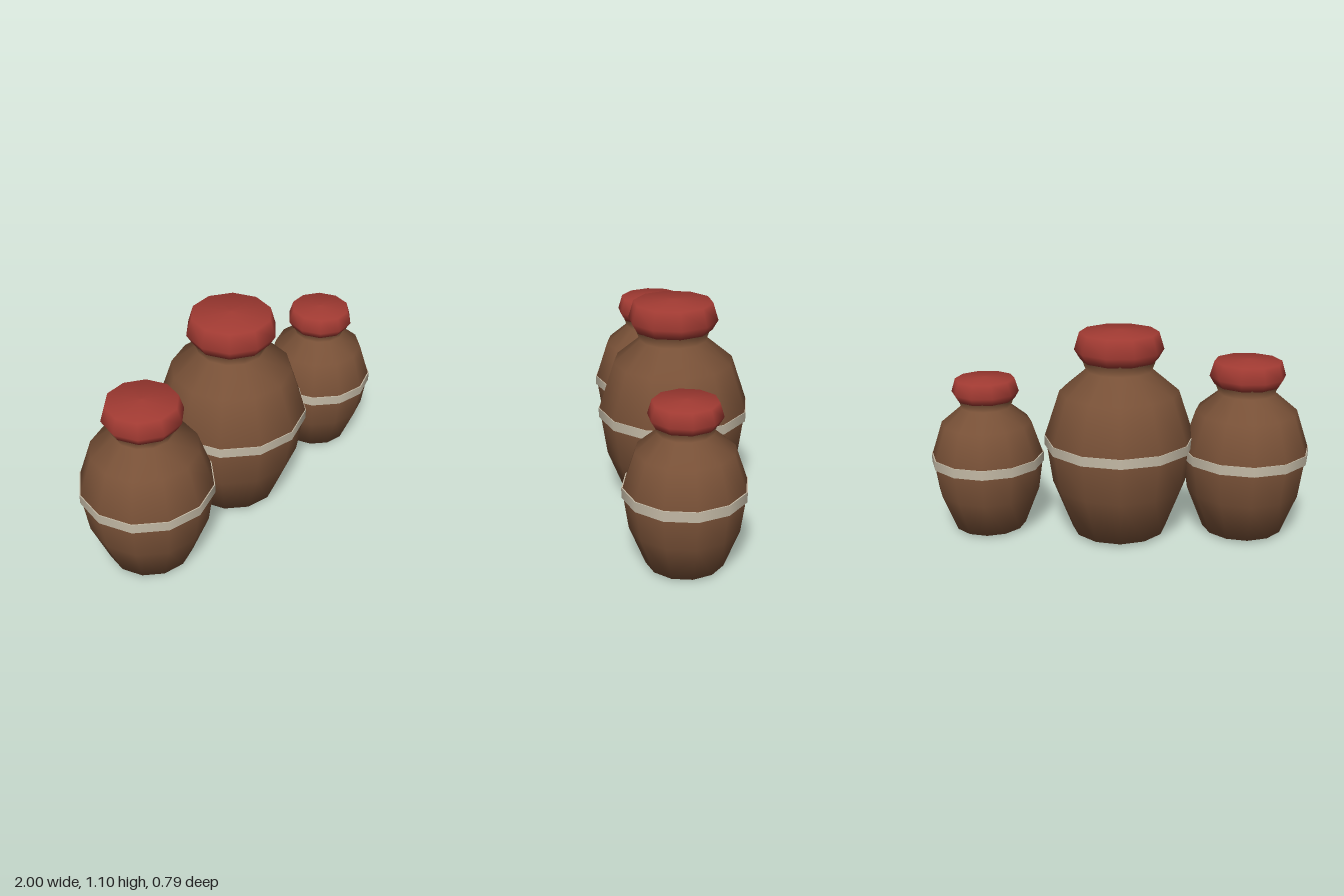
import * as THREE from 'three';

const clay = new THREE.MeshStandardMaterial({ color: 0x7a5238 });
clay.name = 'brownClay';
const red = new THREE.MeshStandardMaterial({ color: 0xa03a32 });
red.name = 'redLid';
const cream = new THREE.MeshStandardMaterial({ color: 0xc4baa6 });
cream.name = 'creamBand';

// Profiles run bottom to top as [radius, height] of the largest jar
const BODY = [[0, 0.004], [0.25, 0.02], [0.352, 0.28], [0.389, 0.54], [0.31, 0.778], [0.173, 0.892], [0.194, 0.95]];
const LID = [[0, 0.935], [0.2, 0.945], [0.231, 0.997], [0.204, 1.087], [0, 1.102]];

function lathe(profile, sides, start) {
  return new THREE.LatheGeometry(profile.map(([r, y]) => new THREE.Vector2(r, y)), sides, start);
}

function part(name, geometry, material) {
  const mesh = new THREE.Mesh(geometry, material);
  mesh.name = name;
  return mesh;
}

function makeJar({ name, x, z, scale, bandY }) {
  const jar = new THREE.Group();
  jar.name = name;
  jar.position.set(x, 0, z);

  const body = part('body', lathe(BODY, 12, 0), clay);
  // The lid has ten sides with corners on the x axis
  const lid = part('lid', lathe(LID, 10, Math.PI / 2), red);
  body.scale.setScalar(scale);
  lid.scale.setScalar(scale);

  // Painted band of constant height around the belly
  const r = 0.393 * scale;
  const band = part('band', new THREE.CylinderGeometry(r, r, 0.05, 12), cream);
  band.position.y = bandY;

  jar.add(body, lid, band);
  return jar;
}

export function createModel() {
  const model = new THREE.Group();
  model.name = 'clayJars';
  [
    { name: 'largeJar', x: 0, z: 0, scale: 1, bandY: 0.511 },
    { name: 'mediumJar', x: -0.664, z: 0, scale: 0.857, bandY: 0.443 },
    { name: 'smallJar', x: 0.7, z: 0.072, scale: 0.761, bandY: 0.395 },
  ].forEach((spec) => model.add(makeJar(spec)));
  return model;
}
